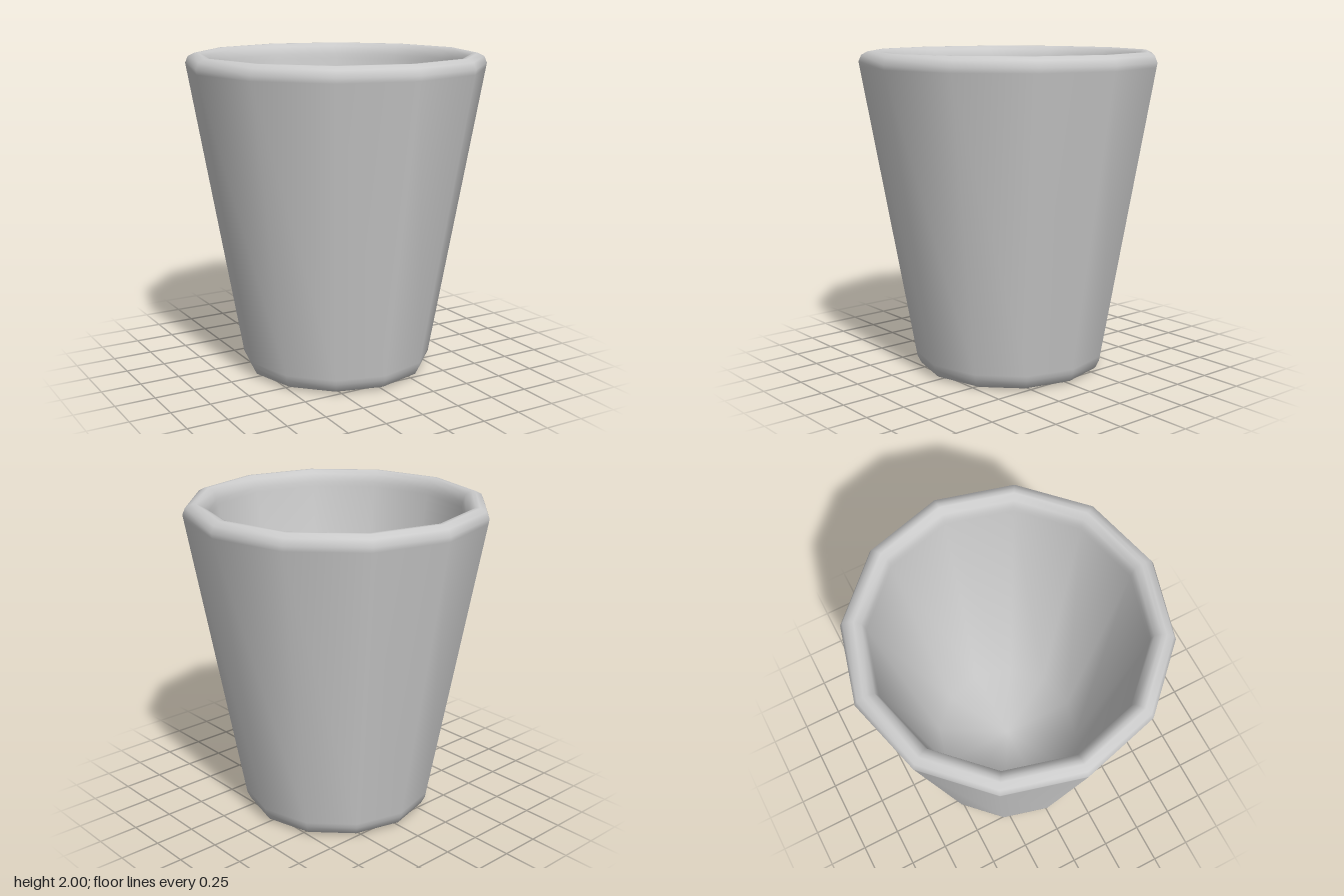
import * as THREE from 'three';

const SIDES = 12;

// Closed cross-section as [radius, height]: underside, outer wall, rim, inner wall, floor
const PROFILE = [
  [0, 0], [0.51, 0], [0.53, 0],                 // underside
  [0.575, 0.02], [0.60, 0.07], [0.605, 0.10],   // bevelled foot
  [0.922, 1.91], [0.927, 1.94],                 // tapered outer wall
  [0.91, 1.98], [0.87, 2], [0.845, 2],          // rounded rim
  [0.805, 1.98], [0.79, 1.93], [0.785, 1.90],
  [0.48, 0.14], [0, 0.14],                      // tapered inner wall and floor
];

export function createModel() {
  const group = new THREE.Group();
  group.name = 'cup';

  const points = PROFILE.map(([r, y]) => new THREE.Vector2(r, y));
  const cup = new THREE.Mesh(
    new THREE.LatheGeometry(points, SIDES),
    new THREE.MeshStandardMaterial({ color: 0xcccccc })
  );
  cup.name = 'cupBody';
  group.add(cup);

  return group;
}
